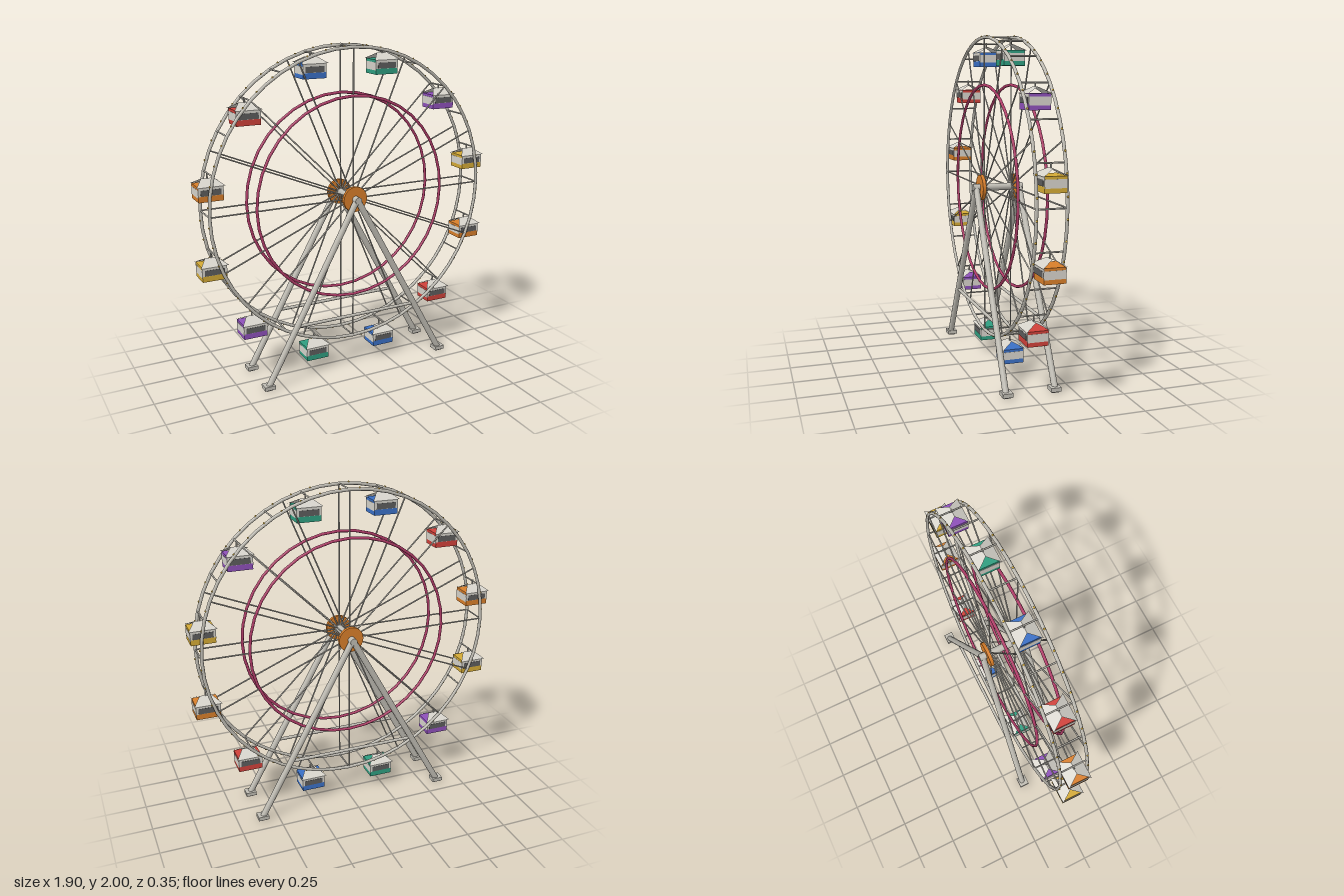
import * as THREE from 'three';

const mat = (name, color, side = THREE.FrontSide) => {
  const m = new THREE.MeshStandardMaterial({ color, side });
  m.name = name;
  return m;
};

export function createModel() {
  const steel = mat('steel', 0xc0bdb4);
  const dark = mat('dark grey', 0x5c5c5c);
  const pale = mat('pale panel', 0xd6d3cb, THREE.DoubleSide);
  const maroon = mat('maroon', 0xb03c68);
  const orange = mat('orange', 0xd97f2a);
  const yellow = mat('yellow', 0xd4aa35);
  const cabinColors = [
    mat('green', 0x2f9e80), mat('purple', 0x8e50ba), yellow,
    orange, mat('red', 0xd0413a), mat('blue', 0x3a70c6),
  ];

  const model = new THREE.Group();
  model.name = 'ferrisWheel';
  const CY = 1.096, R = 0.891, CABIN_R = 0.899, RZ = 0.084;
  const V = (x, y, z) => new THREE.Vector3(x, y, z);

  const add = (parent, name, geometry, material, x = 0, y = 0, z = 0) => {
    const mesh = new THREE.Mesh(geometry, material);
    mesh.name = name;
    mesh.position.set(x, y, z);
    parent.add(mesh);
    return mesh;
  };
  // Round bar between two points
  const rod = (parent, name, a, b, r, material, sides = 10) => {
    const d = b.clone().sub(a);
    const mesh = add(parent, name, new THREE.CylinderGeometry(r, r, d.length(), sides), material);
    mesh.position.copy(a).add(b).multiplyScalar(0.5);
    mesh.quaternion.setFromUnitVectors(V(0, 1, 0), d.normalize());
    return mesh;
  };

  // Wheel: two rims with small bulbs, two inner rings and the spokes
  const wheel = new THREE.Group();
  wheel.name = 'wheel';
  wheel.position.y = CY;
  model.add(wheel);
  const bulb = new THREE.SphereGeometry(0.006, 8, 6);
  for (const s of [-1, 1]) {
    add(wheel, 'rim', new THREE.TorusGeometry(R, 0.01, 8, 48), steel, 0, 0, s * RZ);
    add(wheel, 'innerRing', new THREE.TorusGeometry(0.613, 0.009, 8, 36), maroon, 0, 0, s * RZ);
    for (let i = 0; i < 16; i++) {
      const a = i * Math.PI / 8;
      rod(wheel, 'spoke', V(0, 0, s * RZ), V(R * Math.sin(a), R * Math.cos(a), s * RZ), 0.0045, steel, 6);
    }
    for (let i = 0; i < 48; i++) {
      const a = (i + 0.5) * Math.PI / 24, br = R + 0.007;
      add(wheel, 'rimBulb', bulb, yellow, br * Math.sin(a), br * Math.cos(a), s * RZ);
    }
    const hub = add(wheel, 'hubDisc', new THREE.CylinderGeometry(0.077, 0.077, 0.02, 24), orange, 0, 0, s * 0.105);
    hub.rotation.x = Math.PI / 2;
  }
  rod(wheel, 'axle', V(0, 0, -0.157), V(0, 0, 0.157), 0.022, steel, 16);

  // Bars joining the rims, every second one carrying a cabin
  for (let i = 0; i < 24; i++) {
    const a = i * Math.PI / 12, x = R * Math.sin(a), y = R * Math.cos(a);
    rod(wheel, 'crossbar', V(x, y, -RZ), V(x, y, RZ), 0.005, steel, 6);
  }

  // Roof: front and back slopes meeting at a short ridge, open at the ends
  const roof = new THREE.BufferGeometry();
  const e = 0.083, r = 0.035, ez = 0.069, y0 = -0.062, y1 = -0.026;
  roof.setAttribute('position', new THREE.Float32BufferAttribute([
    -e, y0, ez, e, y0, ez, r, y1, 0, -r, y1, 0,
    e, y0, -ez, -e, y0, -ez, -r, y1, 0, r, y1, 0,
  ], 3));
  roof.setIndex([0, 1, 2, 0, 2, 3, 4, 5, 6, 4, 6, 7]);
  roof.computeVertexNormals();

  for (let i = 0; i < 12; i++) {
    const a = (i + 0.5) * Math.PI / 6;
    const cabin = new THREE.Group();
    cabin.name = 'cabin';
    cabin.position.set(CABIN_R * Math.sin(a), CY + CABIN_R * Math.cos(a), 0);
    model.add(cabin);
    add(cabin, 'cabinBody', new THREE.BoxGeometry(0.144, 0.086, 0.122), cabinColors[i % 6], 0, -0.104, 0);
    for (const s of [-1, 1]) {
      add(cabin, 'cabinEndPanel', new THREE.BoxGeometry(0.003, 0.046, 0.122), pale, s * 0.072, -0.099, 0);
      add(cabin, 'cabinSidePanel', new THREE.BoxGeometry(0.146, 0.05, 0.003), pale, 0, -0.088, s * 0.061);
      add(cabin, 'cabinWindow', new THREE.BoxGeometry(0.118, 0.034, 0.005), dark, 0, -0.095, s * 0.0615);
    }
    add(cabin, 'cabinRoof', roof, pale);
    rod(cabin, 'hanger', V(0, 0, 0), V(0, -0.03, 0), 0.005, steel, 6);
  }

  // Support frames: two splayed legs with feet and a tie beam on each side
  for (const s of [-1, 1]) {
    const frame = new THREE.Group();
    frame.name = 'supportFrame';
    model.add(frame);
    for (const k of [-1, 1]) {
      rod(frame, 'leg', V(0, CY + 0.005, s * 0.136), V(k * 0.597, 0.018, s * 0.146), 0.019, steel);
      add(frame, 'foot', new THREE.BoxGeometry(0.066, 0.024, 0.06), steel, k * 0.597, 0.02, s * 0.143);
      add(frame, 'footBase', new THREE.BoxGeometry(0.04, 0.01, 0.04), steel, k * 0.597, 0.005, s * 0.143);
    }
    rod(frame, 'tieBeam', V(-0.4, 0.368, s * 0.142), V(0.4, 0.368, s * 0.142), 0.01, steel);
  }
  return model;
}
